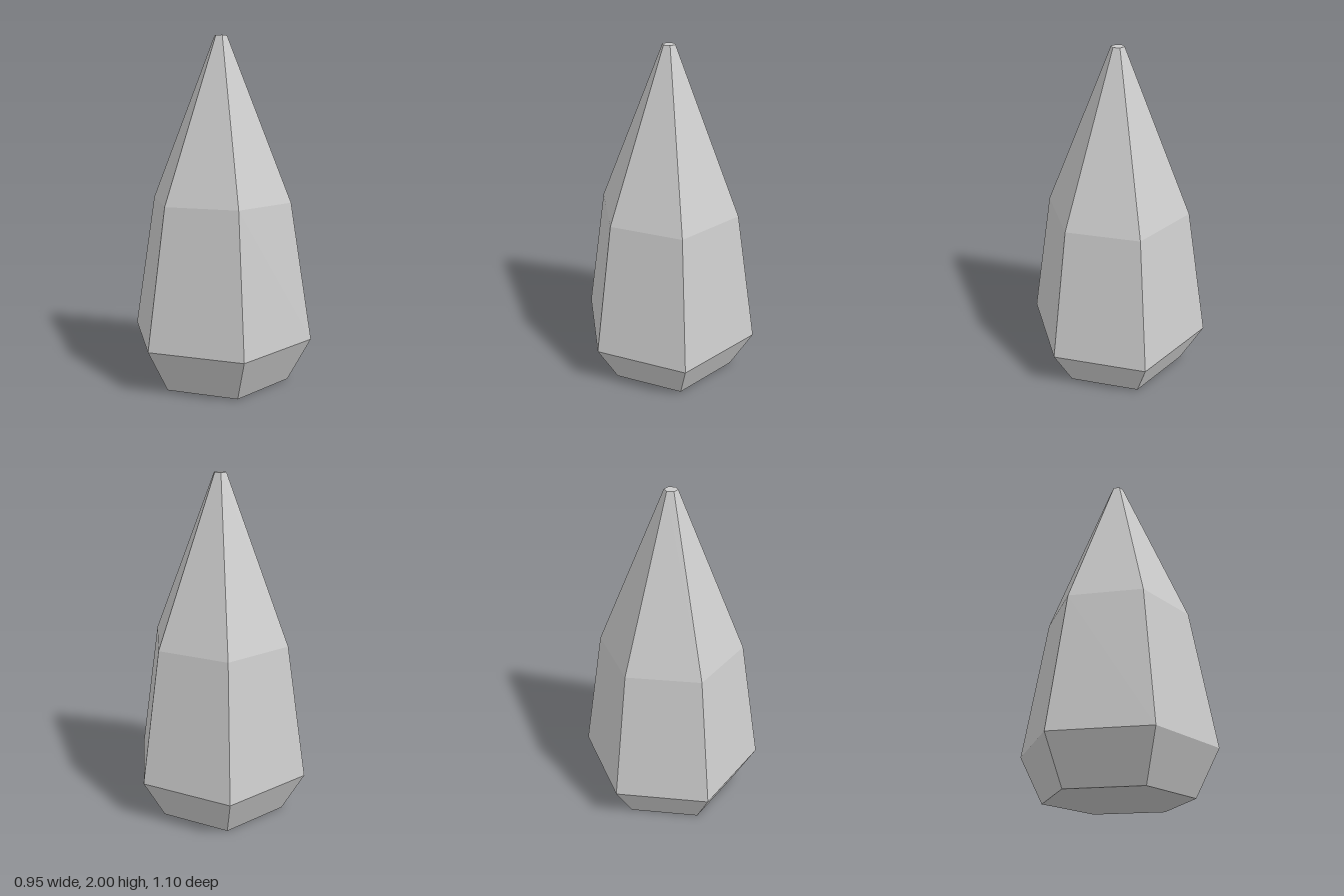
import * as THREE from 'three';

export function createModel() {
  const group = new THREE.Group();
  group.name = 'crystal';

  // Half profile from the base centre to the tip centre: [radius, height]
  const profile = [
    [0, 0],
    [0.415, 0],
    [0.55, 0.26],
    [0.42, 1.06],
    [0.037, 2],
    [0, 2],
  ].map(([r, y]) => new THREE.Vector2(r, y));

  // Six-sided faceted body with corners on the z axis
  const body = new THREE.Mesh(
    new THREE.LatheGeometry(profile, 6),
    new THREE.MeshStandardMaterial({ color: 0xcccccc, flatShading: true })
  );
  body.name = 'crystalBody';
  group.add(body);

  return group;
}
